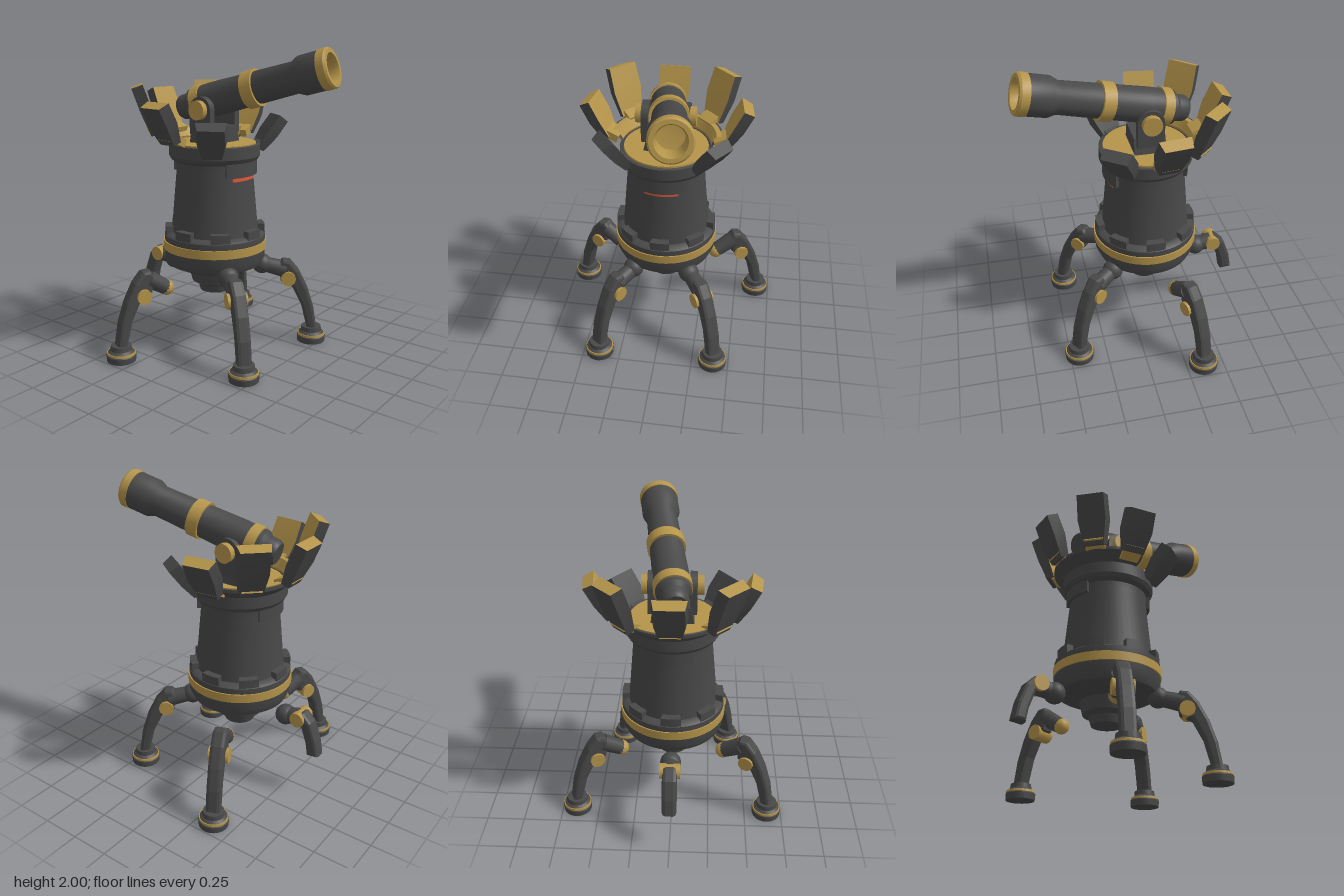
import * as THREE from 'three';
import { toCreasedNormals } from 'three/addons/utils/BufferGeometryUtils.js';

const D = Math.PI / 180;

export function createModel() {
  const iron = new THREE.MeshStandardMaterial({ color: 0x484848 });
  iron.name = 'dark iron';
  const brass = new THREE.MeshStandardMaterial({ color: 0xb4944a });
  brass.name = 'brass';
  const glow = new THREE.MeshStandardMaterial({ color: 0xdc5a3c });
  glow.name = 'red glow';

  const model = new THREE.Group();
  model.name = 'walkingCannonTower';
  // Everything on the tower is arranged around its own axis
  const tower = new THREE.Group();
  tower.name = 'tower';
  tower.position.x = -0.1;
  model.add(tower);

  const add = (parent, name, geo, mat) => {
    const m = new THREE.Mesh(geo, mat);
    m.name = name;
    parent.add(m);
    return m;
  };
  const lathe = (pts, start = 0, len = Math.PI * 2) => toCreasedNormals(
    new THREE.LatheGeometry(pts.map(p => new THREE.Vector2(p[0], p[1])), 48, start, len), 0.5);
  // Closed slab along an arc, angles measured from +x towards +z
  const sector = (r0, r1, y0, y1, a0, a1) => {
    const s = new THREE.Shape();
    s.absarc(0, 0, r1, a0 * D, a1 * D, false);
    s.absarc(0, 0, r0, a1 * D, a0 * D, true);
    const g = new THREE.ExtrudeGeometry(s, { depth: y1 - y0, bevelEnabled: false, curveSegments: 12 });
    return g.rotateX(Math.PI / 2).translate(0, y1, 0);
  };
  // Tapered round rod between two points of the leg plane
  const rod = (p, q, r0, r1) => {
    const a = new THREE.Vector3(p[0], p[1], 0), b = new THREE.Vector3(q[0], q[1], 0);
    const d = b.clone().sub(a);
    const g = new THREE.CylinderGeometry(r1, r0, d.length(), 14);
    g.applyQuaternion(new THREE.Quaternion().setFromUnitVectors(new THREE.Vector3(0, 1, 0), d.normalize()));
    return g.translate((p[0] + q[0]) / 2, (p[1] + q[1]) / 2, 0);
  };

  // Tower body with stepped underside and top rim
  add(tower, 'body', lathe([[0, 0.37], [0.1, 0.37], [0.115, 0.42], [0.155, 0.44], [0.175, 0.52], [0.25, 0.54],
    [0.315, 0.57], [0.338, 0.62], [0.338, 0.77], [0.318, 0.785], [0.29, 0.79], [0.253, 1.2], [0.255, 1.26],
    [0.285, 1.275], [0.3, 1.3], [0.3, 1.375], [0.282, 1.38], [0.28, 1.365], [0, 1.365]]), iron);
  add(tower, 'waistBand', lathe([[0.33, 0.675], [0.346, 0.675], [0.346, 0.732], [0.33, 0.732]]), brass);
  add(tower, 'deck', new THREE.CylinderGeometry(0.272, 0.272, 0.03, 48).translate(0, 1.37, 0), brass);
  for (let i = 0; i < 8; i++) {
    add(tower, 'collarTab', sector(0.27, 0.334, 0.76, 0.83, i * 45 - 11, i * 45 + 11), iron);
  }
  add(tower, 'visor', sector(0.24, 0.279, 1.18, 1.28, -36, 36), iron);
  add(tower, 'visorBack', sector(0.24, 0.276, 1.19, 1.28, 150, 210), iron);
  add(tower, 'mouthSlot', sector(0.25, 0.262, 1.153, 1.18, -25, 25), glow);

  // Raised half ring behind the gun, brass inside and iron outside
  add(tower, 'halfRingInner', lathe([[0.29, 1.38], [0.35, 1.435], [0.35, 1.455], [0.318, 1.455], [0.285, 1.395], [0.29, 1.38]],
    -177 * D, 174 * D), brass);
  add(tower, 'halfRingOuter', lathe([[0.295, 1.37], [0.365, 1.43], [0.365, 1.45], [0.35, 1.45], [0.35, 1.435], [0.29, 1.38], [0.295, 1.37]],
    -177 * D, 174 * D), iron);

  // Armour petals: angle, base radius and height, top radius and height, width, plain
  const petal = (angle, r0, y0, r1, y1, width, plain) => {
    const g = new THREE.Group();
    g.name = 'petal';
    g.rotation.y = -angle * D;
    tower.add(g);
    const h = Math.hypot(r1 - r0, y1 - y0), t = 0.075;
    const geo = new THREE.BoxGeometry(t, h, width, 1, 2, 1);
    const p = geo.attributes.position;
    for (let i = 0; i < p.count; i++) {
      const low = p.getY(i) < -0.01, high = p.getY(i) > 0.01;
      // narrow foot, wide middle, outer face drawn in for a chamfered look
      let k = low ? 0.72 : high ? 0.96 : 1;
      if (p.getX(i) > 0) k *= 0.86;
      p.setZ(i, p.getZ(i) * k);
      if (low) p.setX(i, p.getX(i) * 0.7);
    }
    geo.computeVertexNormals();
    const inner = plain ? iron : brass;
    const m = add(g, 'petalPlate', geo, [iron, inner, inner, iron, iron, iron]);
    m.position.set((r0 + r1) / 2, (y0 + y1) / 2, 0);
    m.rotation.z = -Math.atan2(r1 - r0, y1 - y0);
    const b = add(g, 'petalBracket', new THREE.BoxGeometry(0.12, 0.05, width * 0.6), inner);
    b.position.set(r0 - 0.02, y0 + 0.02, 0);
    b.rotation.z = 0.4;
  };
  petal(180, 0.37, 1.44, 0.485, 1.71, 0.21, false);
  for (const s of [1, -1]) {
    petal(s * 134, 0.39, 1.44, 0.5, 1.75, 0.21, false);
    petal(s * 97, 0.385, 1.41, 0.51, 1.65, 0.21, false);
    petal(s * 54, 0.3, 1.33, 0.45, 1.53, 0.2, true);
  }

  // Gun mount: sloped pedestal, two cheeks and trunnion caps
  const pedestal = new THREE.Shape([[-0.14, 1.36], [0.14, 1.36], [0.11, 1.49], [-0.11, 1.49]].map(p => new THREE.Vector2(...p)));
  add(tower, 'mountPedestal', new THREE.ExtrudeGeometry(pedestal, { depth: 0.2, bevelEnabled: false })
    .translate(0, 0, -0.1).rotateY(Math.PI / 2), iron);
  for (const s of [1, -1]) {
    add(tower, 'mountCheek', new THREE.BoxGeometry(0.17, 0.16, 0.045).translate(0, 1.52, s * 0.128), iron);
    add(tower, 'mountCheekTop', new THREE.CylinderGeometry(0.085, 0.085, 0.045, 20).rotateX(Math.PI / 2).translate(0, 1.6, s * 0.128), iron);
    add(tower, 'trunnionCap', new THREE.CylinderGeometry(0.062, 0.062, 0.045, 16).rotateX(Math.PI / 2).translate(0, 1.6, s * 0.168), brass);
  }

  // Cannon, turned about its own axis and aimed up and to one side
  const cannon = new THREE.Group();
  cannon.name = 'cannon';
  cannon.position.set(-0.1, 1.662, -0.013);
  cannon.quaternion.setFromUnitVectors(new THREE.Vector3(0, 1, 0), new THREE.Vector3(1, 0.27, -0.15).normalize());
  model.add(cannon);
  add(cannon, 'barrel', lathe([[0, -0.27], [0.07, -0.27], [0.082, -0.25], [0.085, -0.19], [0.108, -0.165], [0.112, 0],
    [0.1, 0.585], [0.123, 0.635], [0.123, 0.775], [0.1, 0.775]]), iron);
  add(cannon, 'breechBand', lathe([[0.1, -0.14], [0.119, -0.14], [0.119, -0.075], [0.1, -0.075]]), brass);
  add(cannon, 'barrelBand', lathe([[0.1, 0.245], [0.121, 0.245], [0.121, 0.325], [0.1, 0.325]]), brass);
  add(cannon, 'muzzle', lathe([[0.1, 0.77], [0.127, 0.77], [0.127, 0.82], [0.117, 0.833], [0.092, 0.833],
    [0.08, 0.8], [0.08, 0.7], [0, 0.69]]), brass);

  // Legs are drawn in a plane of distance from the tower axis and height
  const leg = (angle, thigh, shin, knee, footR) => {
    const g = new THREE.Group();
    g.name = 'leg';
    g.rotation.y = -angle * D;
    tower.add(g);
    const [p, q, cap] = thigh;
    add(g, 'thigh', rod(p, q, 0.05, 0.058), iron);
    if (cap) add(g, 'thighCap', new THREE.SphereGeometry(0.052, 14, 10).translate(p[0], p[1], 0), brass);
    else add(g, 'hipBall', new THREE.SphereGeometry(0.068, 16, 12).translate(p[0], p[1], 0), iron);
    const s = new THREE.Shape(shin.map(v => new THREE.Vector2(...v)));
    add(g, 'shin', new THREE.ExtrudeGeometry(s, {
      depth: 0.05, bevelThickness: 0.022, bevelSize: 0.02, bevelOffset: -0.02, bevelSegments: 2,
    }).translate(0, 0, -0.025), iron);
    add(g, 'kneeJoint', new THREE.CylinderGeometry(0.05, 0.05, 0.13, 12).rotateX(Math.PI / 2)
      .translate(knee[0], knee[1], 0), brass);
    if (!footR) return;
    add(g, 'footSole', lathe([[0, 0], [0.094, 0], [0.097, 0.04], [0.09, 0.05], [0, 0.05]]).translate(footR, 0, 0), iron);
    add(g, 'footBand', new THREE.CylinderGeometry(0.092, 0.094, 0.014, 32).translate(footR, 0.054, 0), brass);
    add(g, 'footTop', lathe([[0.088, 0.06], [0.07, 0.075], [0.066, 0.105], [0, 0.11]]).translate(footR, 0, 0), iron);
  };
  const shin = [[0.43, 0.55], [0.46, 0.585], [0.51, 0.58], [0.57, 0.51], [0.63, 0.39], [0.675, 0.25], [0.7, 0.09],
    [0.635, 0.09], [0.59, 0.27], [0.53, 0.39], [0.45, 0.43]];
  for (const s of [1, -1]) {
    leg(s * 36, [[0.32, 0.55], [0.48, 0.51], false], shin, [0.5, 0.457], 0.665);
    leg(s * 112, [[0.37, 0.44], [0.5, 0.52], true],
      shin.map(([r, y]) => [r + 0.035, y]), [0.55, 0.42], 0.7);
  }
  // Lifted rear leg without a foot
  leg(180, [[0.37, 0.515], [0.48, 0.535], false],
    [[0.43, 0.575], [0.515, 0.588], [0.575, 0.53], [0.62, 0.41], [0.64, 0.3], [0.56, 0.29], [0.545, 0.38], [0.51, 0.48], [0.44, 0.5]],
    [0.485, 0.54], 0);

  return model;
}
